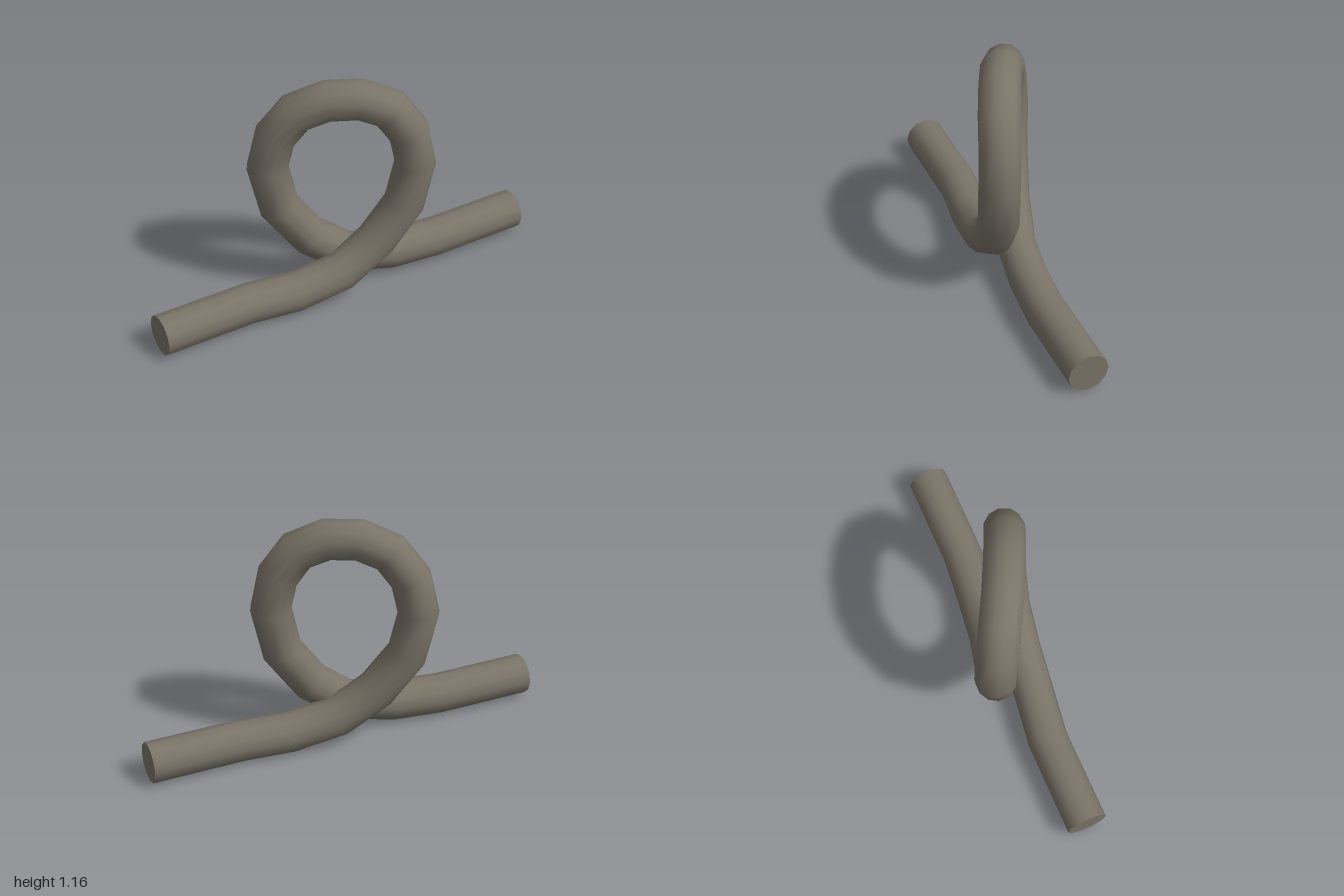
import * as THREE from 'three';

// Bends of the rod's centre line, from the left-hand end in the front view
const BENDS = [
  [-1, 0.1, 0.025], [-0.53, 0.1, 0.025], [-0.29, 0.1, 0.06], [-0.05, 0.15, 0.088],
  [0.13, 0.285, 0.11], [0.265, 0.478, 0.143], [0.312, 0.707, 0.16], [0.28, 0.882, 0.143],
  [0.195, 1.01, 0.11], [0.07, 1.07, 0.053], [-0.07, 1.07, -0.015], [-0.195, 1.01, -0.085],
  [-0.28, 0.882, -0.133], [-0.312, 0.707, -0.158], [-0.265, 0.478, -0.135],
  [-0.13, 0.285, -0.085], [0.05, 0.15, -0.035], [0.29, 0.1, 0], [0.53, 0.1, 0.025], [1, 0.1, 0.025],
].map((p) => new THREE.Vector3(...p));
const STEPS = BENDS.length - 1;
const SIDES = 12;
const RADIUS = 0.1;

// Straight runs between bends, with the ring at each bend on the bisecting plane
class BentPath extends THREE.Curve {
  getPointAt(t, target = new THREE.Vector3()) {
    const i = Math.min(Math.floor(t * STEPS + 1e-6), STEPS - 1);
    return target.lerpVectors(BENDS[i], BENDS[i + 1], t * STEPS - i);
  }
  getTangentAt(t, target = new THREE.Vector3()) {
    const i = Math.round(t * STEPS);
    target.set(0, 0, 0);
    for (const k of [i - 1, i]) {
      if (k < 0 || k >= STEPS) continue;
      target.add(BENDS[k + 1].clone().sub(BENDS[k]).normalize());
    }
    return target.normalize();
  }
}

// Flat disc closing one end, fanned from the tube's end ring
function endCap(tube, ring, sign) {
  const pos = tube.attributes.position;
  const center = BENDS[ring];
  const points = [];
  const corner = (j) => new THREE.Vector3().fromBufferAttribute(pos, ring * (SIDES + 1) + j);
  for (let j = 0; j < SIDES; j++) {
    let a = corner(j), b = corner(j + 1);
    const n = a.clone().sub(center).cross(b.clone().sub(center));
    if (n.x * sign < 0) [a, b] = [b, a];
    points.push(center, a, b);
  }
  const geo = new THREE.BufferGeometry().setFromPoints(points);
  geo.computeVertexNormals();
  return geo;
}

export function createModel() {
  const group = new THREE.Group();
  group.name = 'loopedRod';
  const metal = new THREE.MeshStandardMaterial({ color: 0x7a7468 });
  metal.name = 'warm grey';

  const add = (name, geometry) => {
    const mesh = new THREE.Mesh(geometry, metal);
    mesh.name = name;
    group.add(mesh);
  };

  const tube = new THREE.TubeGeometry(new BentPath(), STEPS, RADIUS, SIDES, false);
  add('rod', tube);
  add('rightEndCap', endCap(tube, 0, -1));
  add('leftEndCap', endCap(tube, STEPS, 1));
  return group;
}
